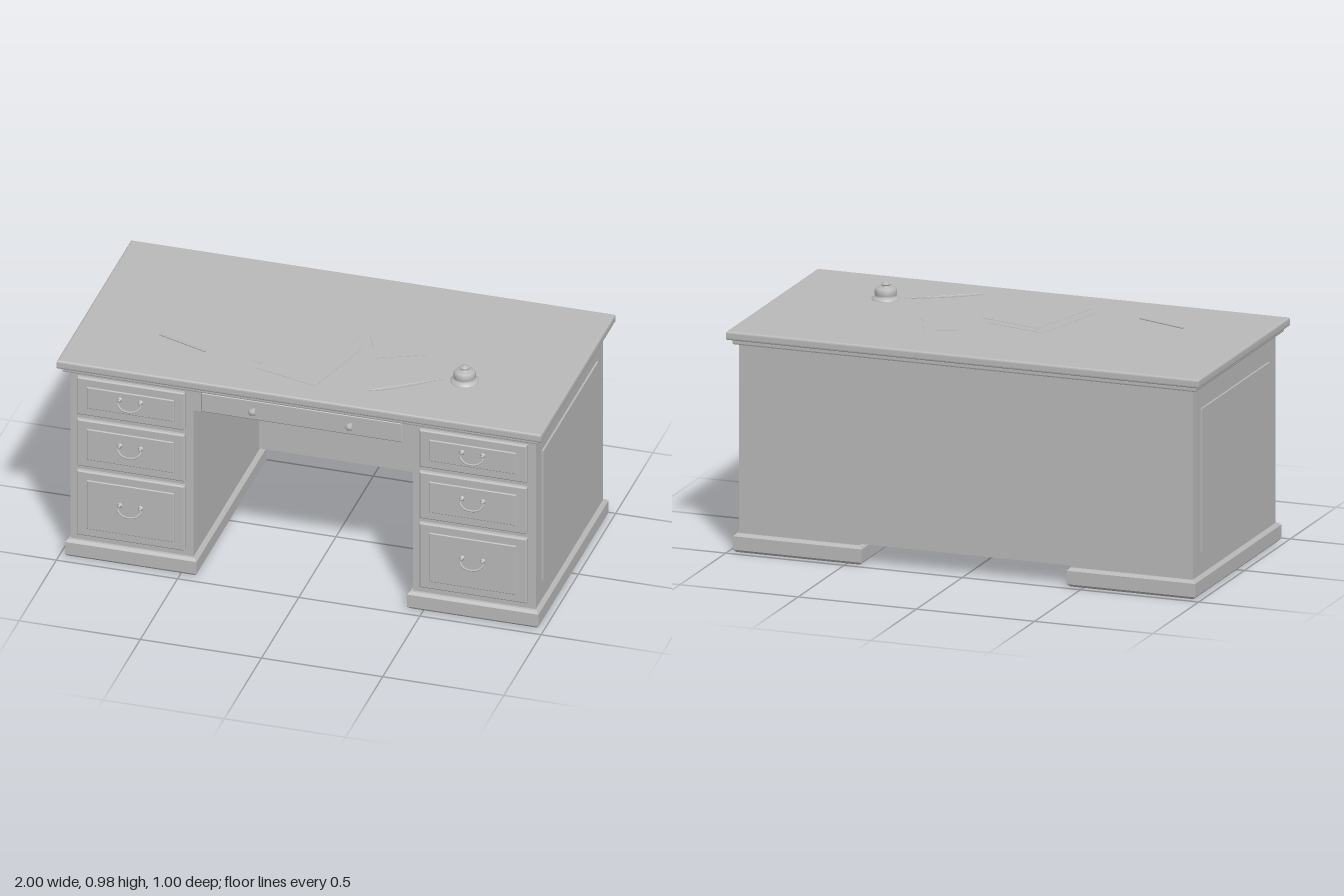
import * as THREE from 'three';

const gray = new THREE.MeshStandardMaterial({ color: 0xb8b8b8 });
gray.name = 'plainGray';

// Box given by its min and max corners
function block(parent, name, [x0, y0, z0], [x1, y1, z1]) {
  const m = new THREE.Mesh(new THREE.BoxGeometry(x1 - x0, y1 - y0, z1 - z0), gray);
  m.position.set((x0 + x1) / 2, (y0 + y1) / 2, (z0 + z1) / 2);
  m.name = name;
  parent.add(m);
  return m;
}

// Box with bevelled rims on its two faces along the given axis ('y' or 'z')
function bevelBlock(parent, name, [x0, y0, z0], [x1, y1, z1], bevel, axis = 'z', segments = 1) {
  const w = x1 - x0, h = y1 - y0, d = z1 - z0;
  const u = w / 2 - bevel;
  const v = (axis === 'y' ? d : h) / 2 - bevel;
  const length = (axis === 'y' ? h : d) - 2 * bevel;
  const shape = new THREE.Shape([[-u, -v], [u, -v], [u, v], [-u, v]].map(p => new THREE.Vector2(...p)));
  const geo = new THREE.ExtrudeGeometry(shape, {
    depth: length, bevelThickness: bevel, bevelSize: bevel, bevelSegments: segments,
  });
  geo.translate(0, 0, -length / 2);
  if (axis === 'y') geo.rotateX(-Math.PI / 2);
  const m = new THREE.Mesh(geo, gray);
  m.position.set((x0 + x1) / 2, (y0 + y1) / 2, (z0 + z1) / 2);
  m.name = name;
  parent.add(m);
  return m;
}

function lathe(name, points, segments = 24) {
  const m = new THREE.Mesh(new THREE.LatheGeometry(points.map(p => new THREE.Vector2(...p)), segments), gray);
  m.name = name;
  return m;
}

// Swinging bail pull hung between two round posts
function bailHandle() {
  const g = new THREE.Group();
  g.name = 'bailHandle';
  const path = new THREE.CatmullRomCurve3([
    [-0.043, 0, 0], [-0.047, -0.012, 0.005], [-0.034, -0.027, 0.014], [-0.014, -0.034, 0.018],
    [0.014, -0.034, 0.018], [0.034, -0.027, 0.014], [0.047, -0.012, 0.005], [0.043, 0, 0],
  ].map(p => new THREE.Vector3(...p)));
  const bail = new THREE.Mesh(new THREE.TubeGeometry(path, 28, 0.0042, 8), gray);
  bail.name = 'bail';
  bail.position.z = 0.008;
  g.add(bail);
  for (const s of [-1, 1]) {
    const post = lathe('post', [[0.011, -0.004], [0.011, 0.001], [0.005, 0.003], [0.005, 0.007], [0.007, 0.01], [0.005, 0.014], [0, 0.015]], 14);
    post.rotation.x = Math.PI / 2;
    post.position.x = s * 0.043;
    g.add(post);
  }
  return g;
}

// Drawer front with raised centre panel and pull
function drawer(parent, x, y0, y1, handleY) {
  const g = new THREE.Group();
  g.name = 'drawer';
  bevelBlock(g, 'drawerFront', [x - 0.222, y0, 0.436], [x + 0.222, y1, 0.459], 0.005);
  bevelBlock(g, 'drawerPanel', [x - 0.18, y0 + 0.036, 0.455], [x + 0.18, y1 - 0.036, 0.465], 0.003);
  const handle = bailHandle();
  handle.position.set(x, handleY, 0.465);
  g.add(handle);
  parent.add(g);
}

function flatSheet(parent, name, w, d, x, z, turn, y) {
  const m = new THREE.Mesh(new THREE.BoxGeometry(w, 0.0015, d), gray);
  m.position.set(x, y, z);
  m.rotation.y = turn;
  m.name = name;
  parent.add(m);
}

export function createModel() {
  const desk = new THREE.Group();
  desk.name = 'desk';

  // Top with moulding under it
  bevelBlock(desk, 'deskTop', [-1, 0.871, -0.5], [1, 0.908, 0.5], 0.009, 'y', 3);
  bevelBlock(desk, 'topMoulding', [-0.98, 0.85, -0.479], [0.98, 0.873, 0.481], 0.006, 'y', 2);

  // Pedestals, plinths, side panels and drawers
  for (const s of [-1, 1]) {
    const p = new THREE.Group();
    p.name = s > 0 ? 'leftPedestal' : 'rightPedestal';
    const span = (a, b) => (s > 0 ? [a, b] : [-b, -a]);
    const [b0, b1] = span(0.452, 0.96);
    block(p, 'pedestalBody', [b0, 0.07, -0.46], [b1, 0.852, 0.44]);
    const [f0, f1] = span(0.434, 0.977);
    bevelBlock(p, 'plinth', [f0, 0, -0.479], [f1, 0.077, 0.462], 0.011, 'y');
    const [q0, q1] = span(0.955, 0.968);
    block(p, 'sidePanel', [q0, 0.166, -0.375], [q1, 0.756, 0.364]);
    const x = s * 0.706;
    drawer(p, x, 0.654, 0.823, 0.754);
    drawer(p, x, 0.42, 0.632, 0.544);
    drawer(p, x, 0.105, 0.399, 0.273);
    desk.add(p);
  }

  // Kneehole: back panel, apron and wide drawer
  block(desk, 'backPanel', [-0.46, 0.083, -0.46], [0.46, 0.852, -0.44]);
  block(desk, 'apron', [-0.455, 0.742, -0.445], [0.455, 0.852, 0.44]);
  bevelBlock(desk, 'centreDrawer', [-0.417, 0.751, 0.436], [0.417, 0.84, 0.459], 0.005);
  for (const s of [-1, 1]) {
    const knob = lathe('knob', [[0.011, 0], [0.007, 0.004], [0.006, 0.012], [0.014, 0.017], [0.016, 0.022], [0.012, 0.027], [0, 0.03]], 18);
    knob.rotation.x = Math.PI / 2;
    knob.position.set(s * 0.2, 0.796, 0.457);
    desk.add(knob);
  }

  // Inkwell
  const well = lathe('inkwell', [
    [0.057, 0], [0.057, 0.005], [0.046, 0.012], [0.04, 0.016], [0.044, 0.021], [0.044, 0.038], [0.038, 0.046],
    [0.02, 0.051], [0.015, 0.054], [0.015, 0.058], [0.019, 0.06], [0.019, 0.064], [0.01, 0.066], [0.008, 0.07], [0, 0.071],
  ], 32);
  well.position.set(0.585, 0.907, 0.176);
  desk.add(well);

  // Quill: a flat leaf-shaped feather on a thin shaft
  const quill = new THREE.Group();
  quill.name = 'quill';
  const leaf = new THREE.Shape();
  leaf.moveTo(-0.155, 0);
  leaf.bezierCurveTo(-0.13, 0.028, 0.03, 0.028, 0.12, 0);
  leaf.bezierCurveTo(0.03, -0.02, -0.13, -0.022, -0.155, 0);
  const vane = new THREE.Mesh(new THREE.ExtrudeGeometry(leaf, { depth: 0.003, bevelEnabled: false }), gray);
  vane.name = 'feather';
  vane.rotation.x = -Math.PI / 2;
  const shaft = new THREE.Mesh(new THREE.CylinderGeometry(0.0015, 0.003, 0.31, 8), gray);
  shaft.name = 'shaft';
  shaft.rotation.z = -Math.PI / 2;
  shaft.position.set(0.001, 0.002, 0);
  quill.add(vane, shaft);
  quill.position.set(0.378, 0.911, 0.28);
  quill.rotation.y = 0.6;
  desk.add(quill);

  // Pen
  const pen = new THREE.Mesh(new THREE.CylinderGeometry(0.004, 0.004, 0.225, 8), gray);
  pen.name = 'pen';
  pen.rotation.set(0, -0.34, Math.PI / 2);
  pen.position.set(-0.563, 0.911, 0.223);
  desk.add(pen);

  // Loose papers
  flatSheet(desk, 'paper', 0.27, 0.36, -0.09, 0.13, -0.25, 0.9083);
  flatSheet(desk, 'paper', 0.27, 0.36, -0.05, 0.185, -0.26, 0.9092);
  flatSheet(desk, 'note', 0.2, 0.27, 0.235, -0.053, 0.42, 0.9085);

  return desk;
}
